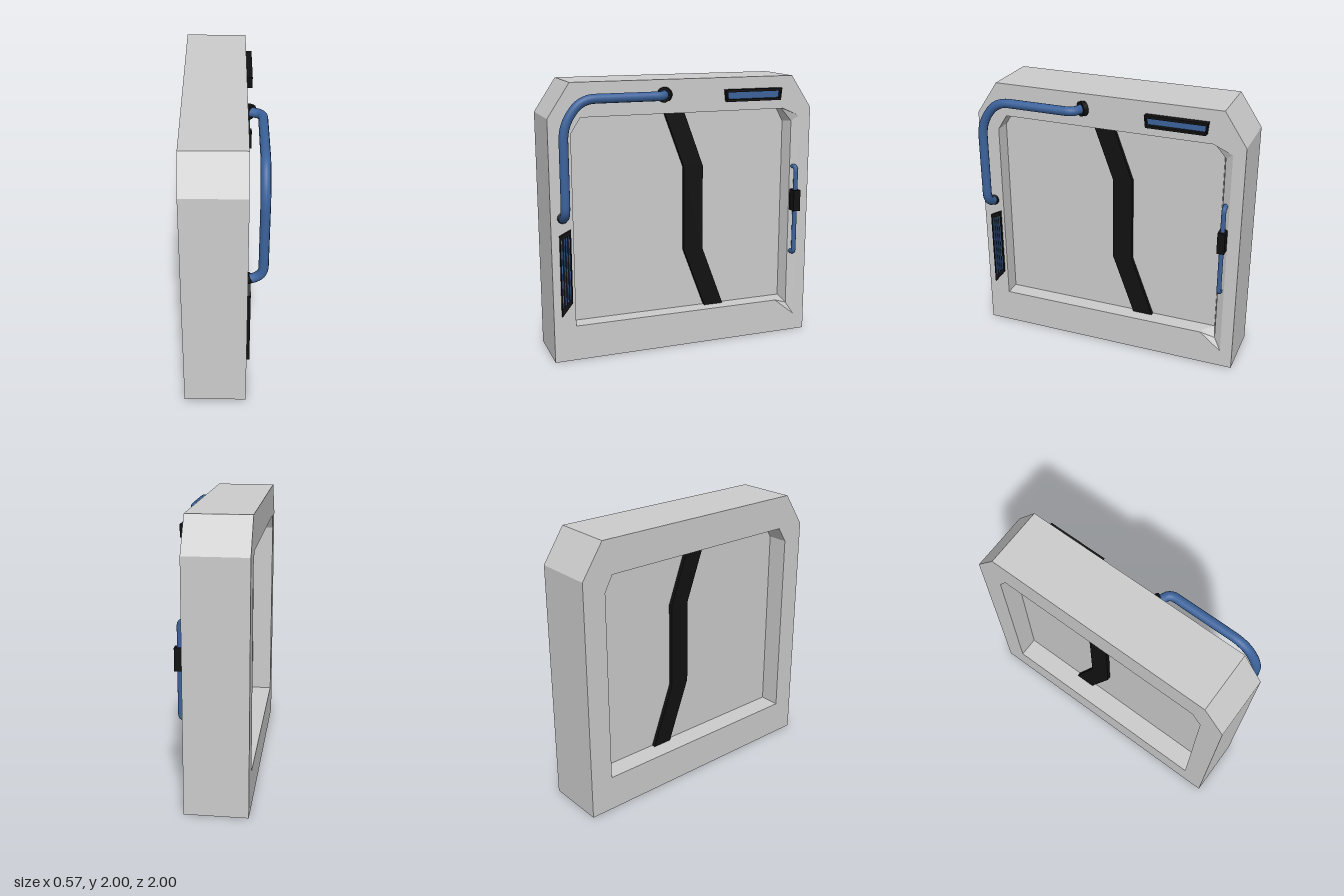
import * as THREE from 'three';
import { mergeGeometries } from 'three/addons/utils/BufferGeometryUtils.js';

const grey = new THREE.MeshStandardMaterial({ color: 0xcccccc });
const blue = new THREE.MeshStandardMaterial({ color: 0x3c639c });
const black = new THREE.MeshStandardMaterial({ color: 0x111111 });

// Everything is built with the doorway in the XY plane and depth along Z,
// then the whole assembly is turned so that depth points along +x.
const BACK = -0.29, FRONT = 0.15;
const toV2 = (pts) => pts.map(([x, y]) => new THREE.Vector2(x, y));
const V = (x, y, z) => new THREE.Vector3(x, y, z);

function mesh(name, geometry, material) {
  const m = new THREE.Mesh(geometry, material);
  m.name = name;
  return m;
}

// Solid prism from an outline, with an optional hole
function prism(outline, z0, z1, hole) {
  const shape = new THREE.Shape(toV2(outline));
  if (hole) shape.holes.push(new THREE.Path(toV2(hole)));
  const g = new THREE.ExtrudeGeometry(shape, { depth: z1 - z0, bevelEnabled: false });
  return g.translate(0, 0, z0);
}

// Strip of quads between two matching loops
function wall(loop0, z0, loop1, z1) {
  const pos = [];
  loop0.forEach((p, i) => {
    const j = (i + 1) % loop0.length;
    const a = [...p, z0], b = [...loop0[j], z0], c = [...loop1[j], z1], d = [...loop1[i], z1];
    pos.push(...a, ...b, ...c, ...a, ...c, ...d);
  });
  const g = new THREE.BufferGeometry();
  g.setAttribute('position', new THREE.Float32BufferAttribute(pos, 3));
  return g;
}

// Flat ring between the outer outline and the opening
function cap(outline, hole, z, flip) {
  const shape = new THREE.Shape(toV2(outline));
  shape.holes.push(new THREE.Path(toV2(hole)));
  const g = new THREE.ShapeGeometry(shape).translate(0, 0, z);
  if (flip) g.index.array.reverse();
  const flat = g.toNonIndexed();
  flat.deleteAttribute('uv');
  flat.deleteAttribute('normal');
  return flat;
}

// Pipe along a polyline whose corners are rounded by the given amounts
function pipe(points, rounding, radius, segments) {
  const path = new THREE.CurvePath();
  let from = points[0];
  for (let i = 1; i < points.length - 1; i++) {
    const p = points[i], r = rounding[i - 1];
    const a = p.clone().add(points[i - 1].clone().sub(p).setLength(r));
    const b = p.clone().add(points[i + 1].clone().sub(p).setLength(r));
    path.add(new THREE.LineCurve3(from, a));
    path.add(new THREE.QuadraticBezierCurve3(a, p, b));
    from = b;
  }
  path.add(new THREE.LineCurve3(from, points[points.length - 1]));
  return new THREE.TubeGeometry(path, segments, radius, 12, false);
}

function collar(name, radius, height, centre, axis) {
  const m = mesh(name, new THREE.CylinderGeometry(radius, radius, height, 16), black);
  m.position.copy(centre);
  m.quaternion.setFromUnitVectors(V(0, 1, 0), axis.normalize());
  return m;
}

function makeFrame() {
  const outline = [[-1, 0], [1, 0], [1, 1.76], [0.84, 2], [-0.84, 2], [-1, 1.76]];
  const opening = [[-0.84, 0.26], [-0.84, 1.65], [-0.77, 1.76], [0.77, 1.76],
    [0.83, 1.65], [0.83, 0.26], [0.75, 0.26]];
  // The opening flares outward on one side towards the front
  const flare = (upper, lower) => opening.map((p, i) => (i === 4 ? upper : i === 5 ? lower : p));
  const middle = flare([0.857, 1.66], [0.857, 0.22]);
  const front = flare([0.91, 1.70], [0.91, 0.13]);
  const g = mergeGeometries([
    wall(outline, BACK, outline, FRONT),
    cap(outline, front, FRONT, false),
    cap(outline, opening, BACK, true),
    wall(opening, BACK, opening, 0.03),
    wall(opening, 0.03, middle, 0.122),
    wall(middle, 0.122, front, FRONT),
  ]);
  g.computeVertexNormals();

  // Door leaf filling the opening, and the seam band running through it
  const leaf = mesh('doorPanel', prism(opening, -0.137, 0.03), grey);
  const seam = [[-0.13, 1.76], [0.02, 1.35], [0.02, 0.72], [0.19, 0.26],
    [0.34, 0.26], [0.17, 0.72], [0.17, 1.35], [0.02, 1.76]];
  return [mesh('doorFrame', g, grey), leaf, mesh('doorSeam', prism(seam, -0.165, 0.06), black)];
}

// Large bent pipe over the upper corner with its two collars
function makeCornerPipe() {
  const group = new THREE.Group();
  group.name = 'cornerPipe';
  const path = [V(-0.16, 1.895, 0.14), V(-0.2, 1.895, 0.252), V(-0.79, 1.895, 0.252),
    V(-0.915, 1.72, 0.252), V(-0.915, 1.09, 0.252), V(-0.915, 1.06, 0.14)];
  group.add(
    mesh('pipe', pipe(path, [0.05, 0.1, 0.1, 0.08], 0.033, 90), blue),
    collar('upperCollar', 0.053, 0.035, V(-0.165, 1.895, 0.162), V(-0.6, 0, 0.8)),
    collar('lowerCollar', 0.038, 0.03, V(-0.915, 1.07, 0.158), V(0, 0.5, 0.85)),
  );
  return group;
}

// Thin grab handle with a central grip
function makeHandle() {
  const group = new THREE.Group();
  group.name = 'handle';
  const path = [V(0.88, 1.315, 0.11), V(0.88, 1.315, 0.181), V(0.88, 0.645, 0.181), V(0.88, 0.645, 0.11)];
  const grip = mesh('grip', new THREE.BoxGeometry(0.055, 0.16, 0.075), black);
  grip.position.set(0.88, 1.06, 0.177);
  group.add(mesh('bar', pipe(path, [0.03, 0.03], 0.017, 60), blue), grip);
  return group;
}

// Slanted side vent with upright slats
function makeSideVent() {
  const group = new THREE.Group();
  group.name = 'sideVent';
  const outer = [[-0.943, 0.345], [-0.863, 0.445], [-0.863, 0.98], [-0.943, 0.94]];
  const inner = [[-0.937, 0.405], [-0.937, 0.91], [-0.869, 0.945], [-0.869, 0.48]];
  group.add(mesh('rim', prism(outer, FRONT, 0.172, inner), black));
  group.add(mesh('backing', prism(inner, FRONT, 0.155), black));
  for (let i = 0; i < 4; i++) {
    const x = -0.934 + i * 0.0175, w = 0.009;
    const low = (u) => 0.405 + (u + 0.937) * 1.1, high = (u) => 0.91 + (u + 0.937) * 0.51;
    const slat = [[x, low(x)], [x + w, low(x + w)], [x + w, high(x + w)], [x, high(x)]];
    group.add(mesh('slat', prism(slat, 0.153, 0.166), blue));
  }
  return group;
}

// Tapered lamp above the door
function makeTopLight() {
  const group = new THREE.Group();
  group.name = 'topLight';
  const outer = [[0.305, 1.828], [0.73, 1.828], [0.74, 1.915], [0.295, 1.915]];
  const inner = [[0.313, 1.845], [0.308, 1.896], [0.727, 1.896], [0.722, 1.845]];
  group.add(mesh('rim', prism(outer, FRONT, 0.195, inner), black));
  group.add(mesh('lens', prism(inner, FRONT, 0.165), blue));
  return group;
}

export function createModel() {
  const model = new THREE.Group();
  model.name = 'door';
  const assembly = new THREE.Group();
  assembly.name = 'doorAssembly';
  assembly.rotation.y = Math.PI / 2;
  assembly.add(...makeFrame(), makeCornerPipe(), makeHandle(), makeSideVent(), makeTopLight());
  model.add(assembly);
  return model;
}
